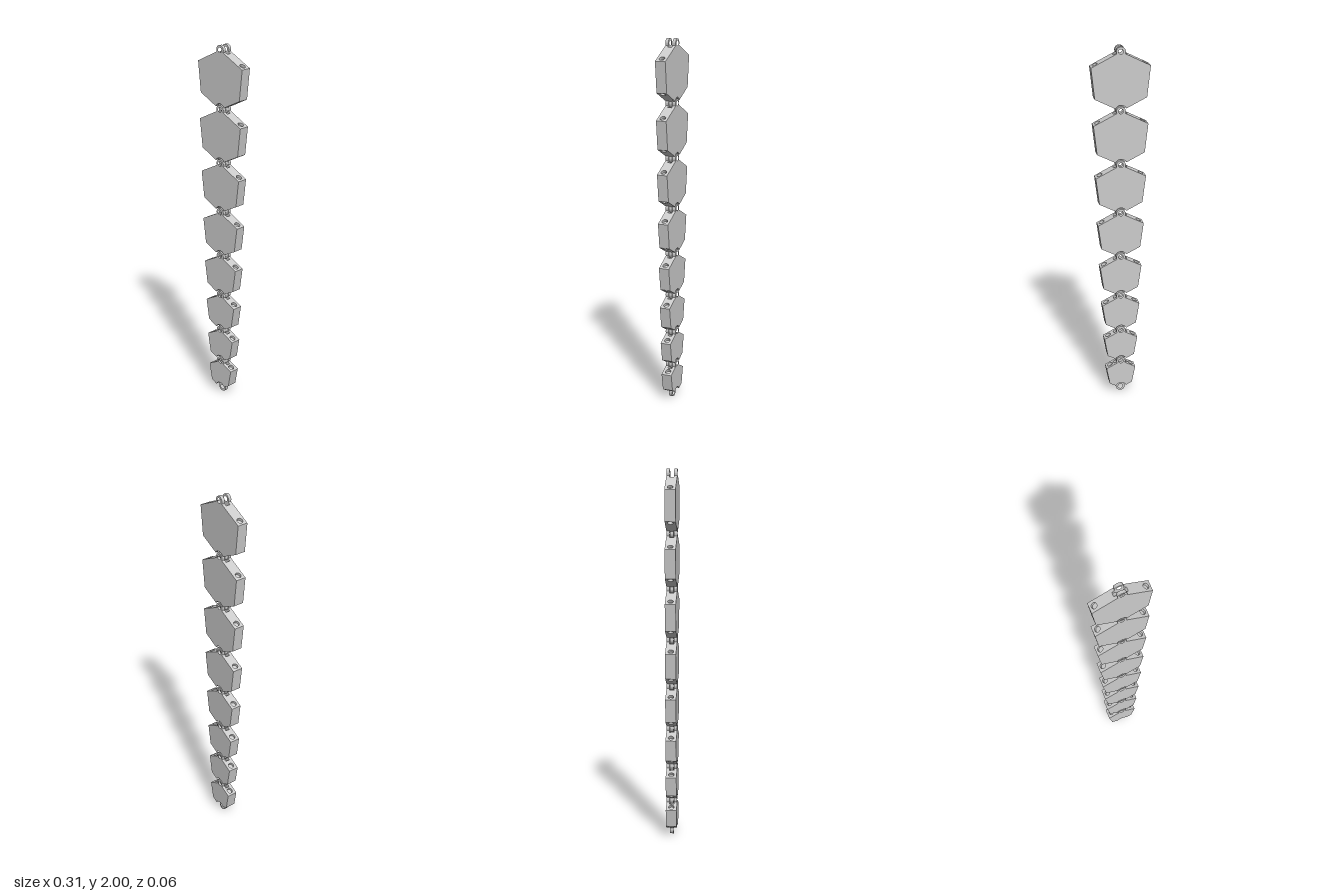
import * as THREE from 'three';
import { toCreasedNormals } from 'three/addons/utils/BufferGeometryUtils.js';

const COUNT = 8;
const HALF_DEPTH = 0.029, SLOT_HALF = 0.012, TONGUE_HALF = 0.0095;
const KNUCKLE_R = 0.025, PIN_R = 0.013, CLEAR_R = 0.033, SLOT_R = 0.042;
const POCKET_R = 0.0155, POCKET_DEPTH = 0.015, POCKET_HALF = 0.018;
const material = new THREE.MeshStandardMaterial({ color: 0xcccccc });
const V = (x, y) => new THREE.Vector2(x, y);
const plateWidth = (i) => 0.157 - 0.0107 * i;
const hingeSpacing = (i) => 0.3169 - 0.0209 * i;

// Arc about a hinge, from straight up (knuckle) or straight down (clearance) to the slope
function hingeArc(h, w, radius, bulge) {
  const from = bulge ? Math.PI / 2 : -Math.PI / 2;
  const to = Math.atan2(-h / 2, w);
  return Array.from({ length: 13 }, (_, k) => {
    const a = from + ((to - from) * k) / 12;
    return V(radius * Math.cos(a), h + radius * Math.sin(a));
  });
}

// Upper right quarter of a hexagon plate: hinge arc, slope with a notch, corner
function quarter(h, w, s, radius, bulge) {
  const u = V(w, -h / 2).normalize(), n = V(-u.y, u.x);
  const onSlope = (d, depth) => V(0, h).addScaledVector(u, d).addScaledVector(n, -depth);
  return [
    ...hingeArc(h, w, radius, bulge),
    onSlope(s - POCKET_HALF, 0), onSlope(s - POCKET_HALF, POCKET_DEPTH),
    onSlope(s + POCKET_HALF, POCKET_DEPTH), onSlope(s + POCKET_HALF, 0),
    V(w, h / 2),
  ];
}

// Mirror the right half (listed top to bottom) into a closed shape
function mirrored(right) {
  const left = right.filter((p) => p.x > 1e-5).map((p) => V(-p.x, p.y)).reverse();
  return new THREE.Shape([...right, ...left]);
}

function drill(shape, x, y, radius) {
  shape.holes.push(new THREE.Path().absarc(x, y, radius, 0, Math.PI * 2, true));
  return shape;
}

function slab(name, shape, z0, z1) {
  const geo = new THREE.ExtrudeGeometry(shape, { depth: z1 - z0, bevelEnabled: false, curveSegments: 16 });
  geo.translate(0, 0, z0);
  const mesh = new THREE.Mesh(toCreasedNormals(geo, 0.5), material);
  mesh.name = name;
  return mesh;
}

// Block with a round blind pocket, filling one notch in a slope
function pocketBlock(h, w, s, sx, sy) {
  const shape = new THREE.Shape([
    V(-POCKET_HALF, -HALF_DEPTH), V(POCKET_HALF, -HALF_DEPTH),
    V(POCKET_HALF, HALF_DEPTH), V(-POCKET_HALF, HALF_DEPTH),
  ]);
  const block = slab('slopePocket', drill(shape, 0, 0, POCKET_R), -POCKET_DEPTH, 0);
  const u = new THREE.Vector3(sx * w, (-sy * h) / 2, 0).normalize();
  const n = new THREE.Vector3((sx * h) / 2, sy * w, 0).normalize();
  const basis = new THREE.Matrix4().makeBasis(u, new THREE.Vector3().crossVectors(n, u), n);
  block.quaternion.setFromRotationMatrix(basis);
  block.position.set(0, sy * h, 0).addScaledVector(u, s);
  return block;
}

function makeLink(i) {
  const link = new THREE.Group();
  link.name = `link${i + 1}`;
  const h = hingeSpacing(i) / 2, w = plateWidth(i);
  // Pockets face those of the neighbouring link
  const along = (x) => (x * Math.hypot(w, h / 2)) / w;
  const sTop = along(w - 0.024), sBottom = along(plateWidth(i + 1) - 0.024);
  const flip = (pts) => pts.map((p) => V(p.x, -p.y)).reverse();
  const bottom = flip(quarter(h, w, sBottom, CLEAR_R, false));

  // Outer plates carry the fork ears, the core leaves the slot between them
  const fork = () => drill(mirrored([...quarter(h, w, sTop, KNUCKLE_R, true), ...bottom.slice(1)]), 0, h, PIN_R);
  link.add(slab('frontPlate', fork(), SLOT_HALF, HALF_DEPTH));
  link.add(slab('backPlate', fork(), -HALF_DEPTH, -SLOT_HALF));
  const core = mirrored([...quarter(h, w, sTop, SLOT_R, false), ...bottom.slice(1)]);
  link.add(slab('corePlate', core, -SLOT_HALF, SLOT_HALF));

  // Tongue that fits in the fork of the link below
  const u = V(w, -h / 2).normalize();
  const tongue = mirrored(flip([
    ...hingeArc(h, w, KNUCKLE_R, true),
    V(0, h).addScaledVector(u, 0.0345), V(0.02, h - 0.045),
  ]));
  link.add(slab('hingeTongue', drill(tongue, 0, -h, PIN_R), -TONGUE_HALF, TONGUE_HALF));

  for (const sx of [1, -1]) {
    link.add(pocketBlock(h, w, sTop, sx, 1), pocketBlock(h, w, sBottom, sx, -1));
  }
  return link;
}

export function createModel() {
  const chain = new THREE.Group();
  chain.name = 'hingedChain';
  let hingeY = 2 - KNUCKLE_R;
  for (let i = 0; i < COUNT; i++) {
    const link = makeLink(i);
    link.position.y = hingeY - hingeSpacing(i) / 2;
    hingeY -= hingeSpacing(i);
    chain.add(link);
  }
  return chain;
}
